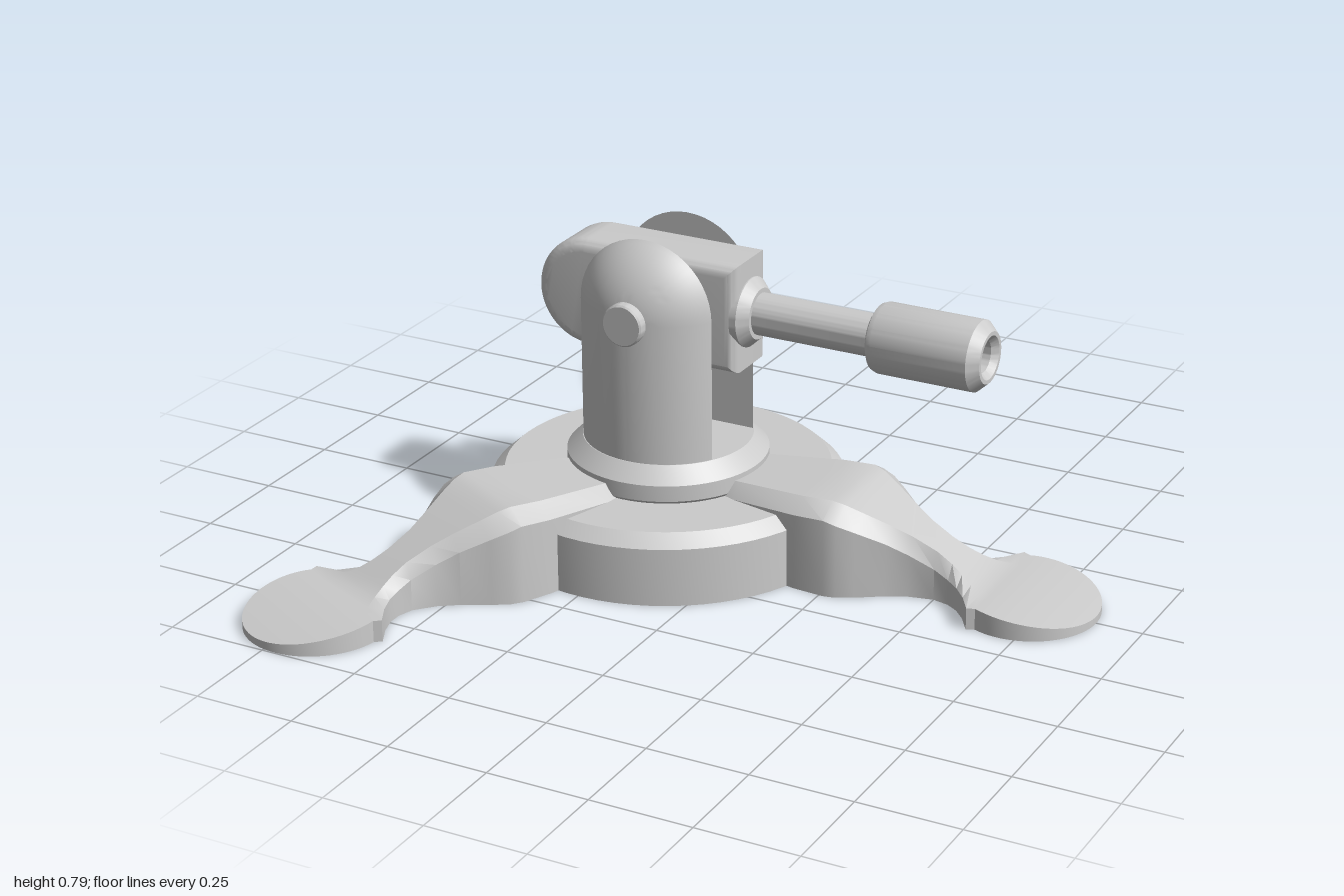
import * as THREE from 'three';
import { toCreasedNormals } from 'three/addons/utils/BufferGeometryUtils.js';

const material = new THREE.MeshStandardMaterial({ color: 0xcccccc });
const AXIS_X = -0.24; // the base is off centre
const PIVOT_Y = 0.61;

function add(parent, name, geometry, x = 0, y = 0, z = 0) {
  const mesh = new THREE.Mesh(geometry, material);
  mesh.name = name;
  mesh.position.set(x, y, z);
  parent.add(mesh);
  return mesh;
}

// Skin convex rings of [x, y, z] (counter-clockwise seen from the last ring) and cap both ends
function loft(rings, crease = 0.45) {
  const n = rings[0].length;
  const index = [];
  for (let i = 0; i < rings.length - 1; i++) {
    for (let j = 0; j < n; j++) {
      const a = i * n + j, b = i * n + (j + 1) % n;
      index.push(a, b, b + n, a, b + n, a + n);
    }
  }
  const last = (rings.length - 1) * n;
  for (let j = 1; j < n - 1; j++) {
    index.push(0, j + 1, j, last, last + j, last + j + 1);
  }
  const geometry = new THREE.BufferGeometry();
  geometry.setAttribute('position', new THREE.Float32BufferAttribute(rings.flat(2), 3));
  geometry.setIndex(index);
  return toCreasedNormals(geometry, crease);
}

function lathe(profile) {
  const points = profile.map(([r, y]) => new THREE.Vector2(r, y));
  return toCreasedNormals(new THREE.LatheGeometry(points, 64), 0.4);
}

// Leg stations: radius, half width, half width of top face, wall height, top height
function legGeometry() {
  const stations = [
    [0.18, 0.105, 0.08, 0.165, 0.205],
    [0.24, 0.12, 0.09, 0.175, 0.21],
    [0.42, 0.16, 0.115, 0.19, 0.222],
    [0.5, 0.166, 0.115, 0.195, 0.226],
    [0.53, 0.16, 0.108, 0.185, 0.218],
    [0.57, 0.139, 0.094, 0.167, 0.2],
    [0.63, 0.1, 0.07, 0.135, 0.171],
    [0.68, 0.076, 0.053, 0.107, 0.146],
    [0.74, 0.063, 0.045, 0.078, 0.117],
    [0.78, 0.072, 0.05, 0.063, 0.096],
    [0.81, 0.09, 0.06, 0.057, 0.08],
    [0.84, 0.122, 0.075, 0.055, 0.066],
    [0.87, 0.168, 0.095, 0.054, 0.055],
  ];
  // Round pad whose top droops towards the tip
  const centre = 0.953, radius = 0.172;
  for (let i = 1; i <= 24; i++) {
    const angle = THREE.MathUtils.lerp(2.04, 0.02, i / 24);
    const r = centre + radius * Math.cos(angle);
    const w = radius * Math.sin(angle);
    const h = 0.054 - 0.036 * Math.pow((r - 0.87) / 0.255, 1.6);
    stations.push([r, w, w * 0.56, h, h]);
  }
  return loft(stations.map(([r, w, t, edge, top]) => [
    [r, 0, w], [r, 0, -w], [r, edge, -w], [r, top, -t], [r, top, t], [r, edge, w],
  ]));
}

// Slice of a domed post, from the slot face outwards
function cheekGeometry() {
  const R = 0.205, inner = 0.105, rings = [];
  const start = Math.asin(inner / R);
  for (let i = 0; i <= 16; i++) {
    const angle = THREE.MathUtils.lerp(start, Math.PI / 2 - 0.01, i / 16);
    const a = R * Math.cos(angle), z = R * Math.sin(angle);
    const ring = [[-a, 0.2, z], [a, 0.2, z]];
    for (let k = 0; k <= 24; k++) {
      const t = Math.PI * k / 24;
      ring.push([a * Math.cos(t), PIVOT_Y + a * Math.sin(t), z]);
    }
    rings.push(ring);
  }
  return loft(rings, 0.6);
}

// Swinging block: round at the back, square at the front, with softened edges
function blockGeometry() {
  const b = 0.028, r = 0.135 - b, back = -0.415, front = -0.015 - b;
  const shape = new THREE.Shape();
  shape.moveTo(back, -r);
  shape.lineTo(front, -r);
  shape.lineTo(front, r);
  shape.lineTo(back, r);
  shape.absarc(back, 0, r, Math.PI / 2, Math.PI * 1.5, false);
  const depth = 0.166 - 2 * b;
  const geometry = new THREE.ExtrudeGeometry(shape, {
    depth, bevelThickness: b, bevelSize: b, bevelSegments: 5, curveSegments: 28,
  });
  geometry.translate(0, 0, -depth / 2);
  return toCreasedNormals(geometry, 0.6);
}

export function createModel() {
  const model = new THREE.Group();
  model.name = 'tripodStand';

  // Base disc, collar and three legs
  const base = new THREE.Group();
  base.name = 'base';
  base.position.x = AXIS_X;
  model.add(base);
  add(base, 'baseDisc', lathe([[0, 0], [0.43, 0], [0.43, 0.145], [0.397, 0.175], [0, 0.175]]));
  add(base, 'collar', lathe([[0, 0.17], [0.235, 0.17], [0.245, 0.182], [0.245, 0.222], [0.207, 0.26], [0, 0.26]]));
  const leg = legGeometry();
  for (let i = 0; i < 3; i++) {
    add(base, 'leg' + (i + 1), leg).rotation.y = i * Math.PI * 2 / 3;
  }

  // Fork cheeks and the pivot pin
  const cheek = cheekGeometry();
  add(base, 'frontCheek', cheek);
  add(base, 'backCheek', cheek).rotation.y = Math.PI;
  const pin = lathe([[0, -0.223], [0.048, -0.223], [0.052, -0.219], [0.052, 0.219], [0.048, 0.223], [0, 0.223]]);
  add(base, 'pivotPin', pin, 0, PIVOT_Y, 0).rotation.x = Math.PI / 2;

  // Arm: block, neck, rod and hollow-ended grip, turned along +x
  const arm = new THREE.Group();
  arm.name = 'arm';
  arm.position.y = PIVOT_Y;
  model.add(arm);
  add(arm, 'pivotBlock', blockGeometry());
  const turned = {
    neck: [[0, -0.03], [0.085, -0.03], [0.085, -0.012], [0.062, 0.012], [0, 0.012]],
    rod: [[0, 0], [0.051, 0], [0.051, 0.33], [0, 0.33]],
    grip: [[0, 0.315], [0.068, 0.315], [0.08, 0.322], [0.085, 0.335], [0.085, 0.575], [0.062, 0.6],
      [0.052, 0.6], [0.038, 0.585], [0.038, 0.53], [0, 0.53]],
  };
  for (const [name, profile] of Object.entries(turned)) {
    add(arm, name, lathe(profile)).rotation.z = -Math.PI / 2;
  }
  return model;
}
